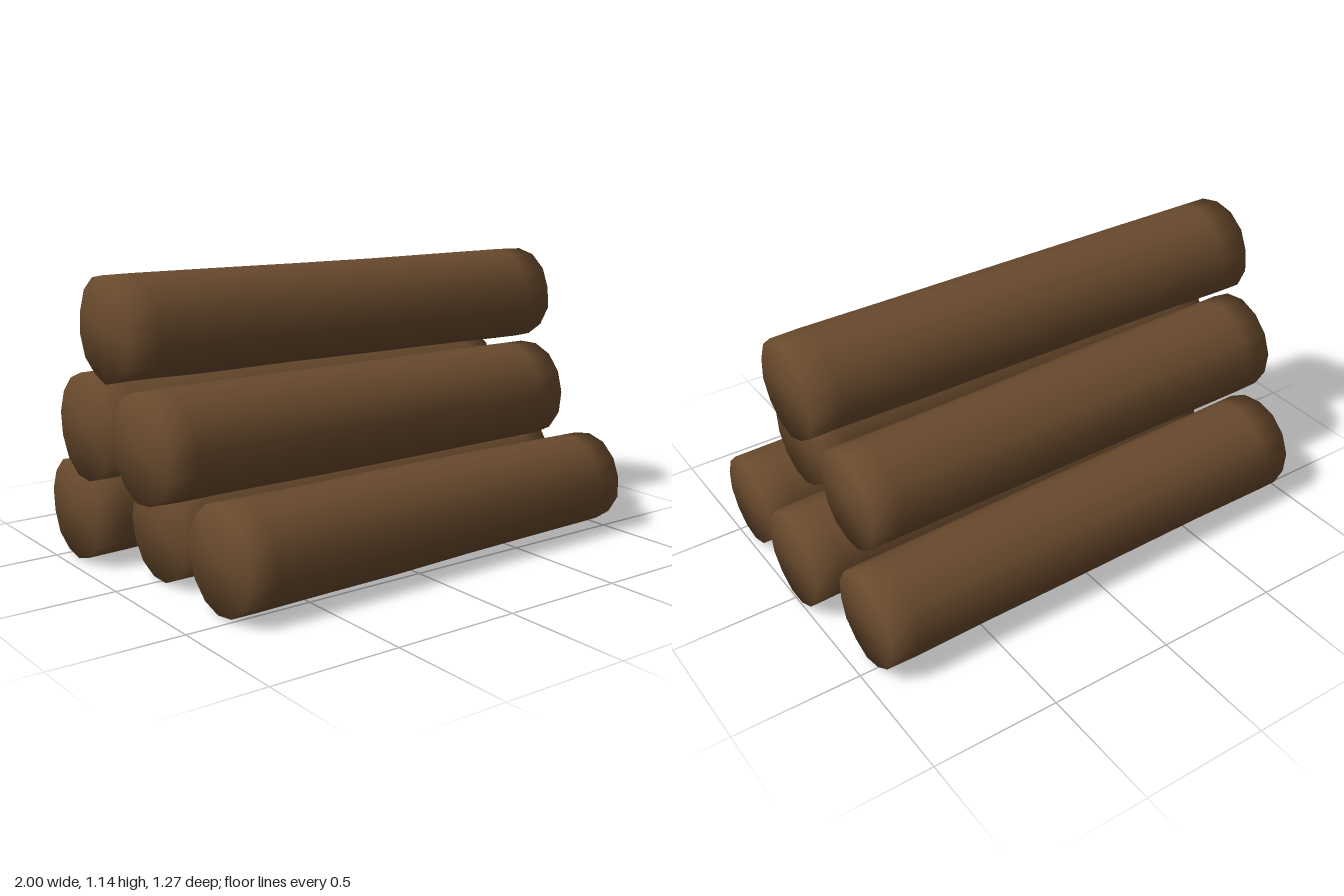
import * as THREE from 'three';

const SIDES = 14;
// Positions of the rings along a log; tight spacing near the ends softens the rims
const RINGS = [0, 0.06, 0.22, 0.4, 0.6, 0.78, 0.94, 1];

// Name, then the two ends as [x, y, z, radius]
const LOGS = [
  ['topLog', [-0.99, 0.95, -0.035, 0.193], [0.95, 0.933, -0.002, 0.19]],
  ['middleFrontLog', [-0.99, 0.57, 0.2, 0.199], [0.83, 0.567, 0.204, 0.195]],
  ['middleBackLog', [-1, 0.57, -0.2, 0.2], [0.87, 0.57, -0.24, 0.19]],
  ['bottomFrontLog', [-0.83, 0.204, 0.437, 0.199], [0.98, 0.202, 0.405, 0.184]],
  ['bottomMiddleLog', [-0.82, 0.203, 0.0, 0.2], [1, 0.203, -0.01, 0.19]],
  ['bottomBackLog', [-0.95, 0.205, -0.415, 0.198], [0.94, 0.207, -0.455, 0.188]],
];

function seeded(seed) {
  let s = seed;
  return () => (s = (s * 16807) % 2147483647) / 2147483647;
}

// Slightly uneven log with flat ends and shared vertices for smooth shading
function logGeometry(start, end, seed) {
  const rand = seeded(seed * 7919 + 13);
  const positions = [];
  const index = [];
  const grain = Array.from({ length: SIDES }, () => (rand() - 0.5) * 0.04);
  const turn = rand();
  for (const t of RINGS) {
    const [x, y, z, r] = start.map((v, k) => v + (end[k] - v) * t);
    for (let j = 0; j < SIDES; j++) {
      const a = ((j + turn) / SIDES) * Math.PI * 2;
      const radius = r * (1 + grain[j] + (rand() - 0.5) * 0.025);
      positions.push(x, y + Math.cos(a) * radius, z + Math.sin(a) * radius);
    }
  }
  const startCentre = RINGS.length * SIDES;
  positions.push(...start.slice(0, 3), ...end.slice(0, 3));

  const last = (RINGS.length - 1) * SIDES;
  for (let j = 0; j < SIDES; j++) {
    const n = (j + 1) % SIDES;
    // Bark
    for (let i = 0; i < last; i += SIDES) {
      const a = i + j, b = i + n;
      index.push(a, b, a + SIDES, b, b + SIDES, a + SIDES);
    }
    // Cut ends
    index.push(startCentre, n, j);
    index.push(startCentre + 1, last + j, last + n);
  }
  const geometry = new THREE.BufferGeometry();
  geometry.setAttribute('position', new THREE.Float32BufferAttribute(positions, 3));
  geometry.setIndex(index);
  geometry.computeVertexNormals();
  return geometry;
}

export function createModel() {
  const group = new THREE.Group();
  group.name = 'logPile';
  const wood = new THREE.MeshStandardMaterial({ color: 0x694a2d });
  wood.name = 'brown wood';

  LOGS.forEach(([name, start, end], i) => {
    const log = new THREE.Mesh(logGeometry(start, end, i + 1), wood);
    log.name = name;
    group.add(log);
  });
  return group;
}
